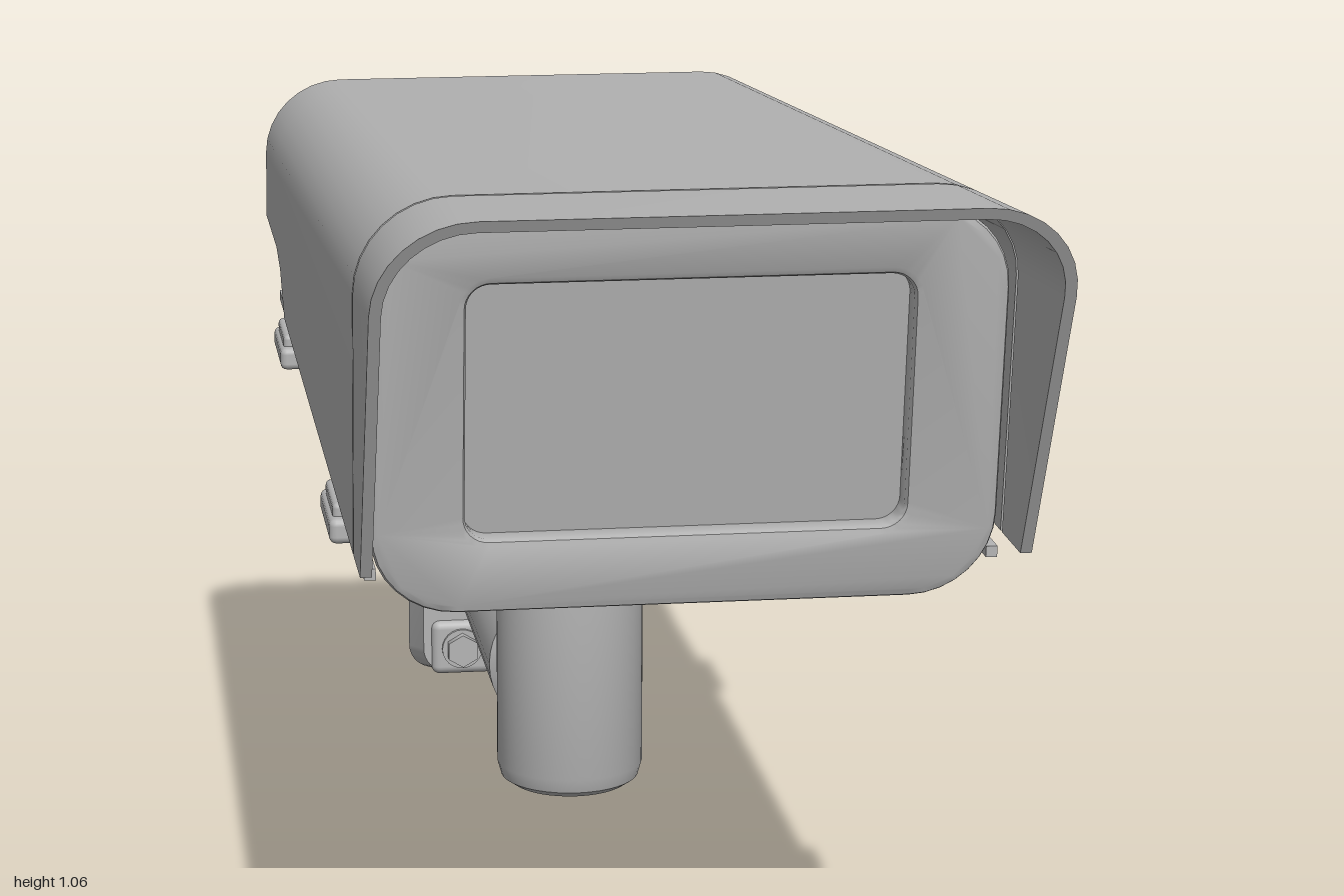
import * as THREE from 'three';
import { toCreasedNormals } from 'three/addons/utils/BufferGeometryUtils.js';
import { RoundedBoxGeometry } from 'three/addons/geometries/RoundedBoxGeometry.js';

const arc = (cx, cy, r, from, n = 8) => Array.from({ length: n + 1 }, (_, i) => {
  const a = from + (i / n) * Math.PI / 2;
  return new THREE.Vector2(cx + r * Math.cos(a), cy + r * Math.sin(a));
});

// closed rounded rectangle, counter-clockwise
const roundRect = (w, y0, y1, r) => [
  ...arc(w - r, y0 + r, r, -Math.PI / 2), ...arc(w - r, y1 - r, r, 0),
  ...arc(r - w, y1 - r, r, Math.PI / 2), ...arc(r - w, y0 + r, r, Math.PI)];

// inverted U, open at the bottom
const arch = (w, y0, y1, r) => [new THREE.Vector2(w, y0),
  ...arc(w - r, y1 - r, r, 0), ...arc(r - w, y1 - r, r, Math.PI / 2), new THREE.Vector2(-w, y0)];

// place an outline at depth z, leaning with height
const ring = (pts, z, lean = 0, yRef = 0) =>
  pts.map(p => new THREE.Vector3(p.x, p.y, z + lean * (p.y - yRef)));

// skin over matching rings, capped at both ends
function skin(rings, crease = 0.5) {
  const pos = [], n = rings[0].length;
  const tri = (...v) => v.forEach(p => pos.push(p.x, p.y, p.z));
  for (let j = 0; j < rings.length - 1; j++) {
    for (let i = 0; i < n; i++) {
      const k = (i + 1) % n, A = rings[j], B = rings[j + 1];
      tri(A[i], A[k], B[k]);
      tri(A[i], B[k], B[i]);
    }
  }
  const cap = (R, flip) => THREE.ShapeUtils
    .triangulateShape(R.map(p => new THREE.Vector2(p.x, p.y)), [])
    .forEach(([a, b, c]) => (flip ? tri(R[a], R[c], R[b]) : tri(R[a], R[b], R[c])));
  cap(rings[0], true);
  cap(rings[rings.length - 1], false);
  const g = new THREE.BufferGeometry();
  g.setAttribute('position', new THREE.Float32BufferAttribute(pos, 3));
  g.computeVertexNormals();
  return toCreasedNormals(g, crease);
}

// tapered block hanging downwards, with an optional recess underneath
function pan(w, z0, z1, top, bottom, taper, dish = 0) {
  const o = (d, y) => ring(roundRect(w - d, z0 + d * 0.7, z1 - d * 0.7, 0.015), -y);
  const rings = [o(0, top), o(taper, bottom)];
  if (dish) rings.push(o(taper + 0.02, bottom), o(taper + 0.02, bottom + dish));
  return skin(rings).rotateX(Math.PI / 2);
}

const lathe = (pts, seg = 40) => toCreasedNormals(
  new THREE.LatheGeometry(pts.map(p => new THREE.Vector2(...p)), seg), 0.6);

export function createModel() {
  const model = new THREE.Group();
  const grey = new THREE.MeshStandardMaterial({ color: 0xb4b4b4 });
  grey.name = 'grey metal';
  const add = (name, geo, x = 0, y = 0, z = 0) => {
    const m = new THREE.Mesh(geo, grey);
    m.name = name;
    m.position.set(x, y, z);
    model.add(m);
    return m;
  };
  const roofY = z => 0.978 + 0.082 * z;

  // sunshield: each station is [z at the roof, lean, lower edge]
  const shield = stations => skin(stations.map(([z, lean, low]) => {
    const t = 0.012, y = roofY(z);
    const loop = [...arch(0.345, low, y, 0.1), ...arch(0.345 - t, low, y - t, 0.1 - t).reverse()];
    return ring(loop, z, lean, y);
  }));
  add('sunshield', shield([[-0.71, 0.18, 0.73], [-0.53, 0, 0.73], [-0.46, 0, 0.715],
    [-0.39, 0, 0.665], [0.765, 0.14, 0.66]]));
  add('visor', shield([[0.772, 0.14, 0.66], [1, 0.5, 0.66]]));

  // housing with a dished rear panel
  const section = (z, lean, inset = 0) => {
    const y = roofY(z) - 0.02;
    return ring(roundRect(0.328 - inset, 0.59 + inset, y - inset, 0.09 - inset), z, lean, y);
  };
  add('housing', skin([section(-0.635, 0.1, 0.045), section(-0.66, 0.1, 0.025),
    section(-0.665, 0.1), section(0.73, 0.13)]));

  // front bezel around the recessed window
  const face = new THREE.Shape(roundRect(0.328, 0.59, 1.018, 0.09));
  face.holes.push(new THREE.Path(roundRect(0.23, 0.67, 0.945, 0.025).reverse()));
  const bezel = new THREE.ExtrudeGeometry(face, { depth: 0.024, bevelThickness: 0.008,
    bevelSize: 0.008, bevelOffset: -0.008, bevelSegments: 2 });
  const bp = bezel.attributes.position;
  for (let i = 0; i < bp.count; i++) bp.setZ(i, bp.getZ(i) + 0.73 + 0.13 * (bp.getY(i) - 1.018));
  bezel.computeVertexNormals();
  add('windowBezel', toCreasedNormals(bezel, 0.5));

  // seam trim and side latches
  for (const s of [-1, 1]) {
    add('seamTrim', new THREE.BoxGeometry(0.012, 0.012, 1.38), s * 0.327, 0.634, 0.01);
    for (const z of [0.445, -0.38]) {
      add('latch', new RoundedBoxGeometry(0.04, 0.028, 0.14, 2, 0.008), s * 0.335, 0.629, z);
      add('latchTop', new RoundedBoxGeometry(0.022, 0.03, 0.11, 2, 0.006), s * 0.339, 0.642, z);
    }
  }

  // underside mount
  add('mountFlange', pan(0.232, -0.67, 0.015, 0.595, 0.578, 0.008));
  add('mountBlock', pan(0.215, -0.43, 0.008, 0.58, 0.51, 0.025, 0.02));
  add('cableBay', pan(0.215, -0.662, -0.44, 0.58, 0.51, 0.025, 0.05));
  add('cableGland', new THREE.CylinderGeometry(0.018, 0.018, 0.04, 20), -0.06, 0.54, -0.55);
  add('jointPlate', pan(0.172, -0.335, -0.11, 0.535, 0.466, 0.02));
  for (const x of [-0.12, 0.12]) {
    for (const z of [-0.27, -0.17]) {
      add('plateScrew', new THREE.CylinderGeometry(0.012, 0.012, 0.008, 16), x, 0.465, z);
    }
  }
  for (const z of [0.34, 0.4, 0.46]) {
    add('drainPlug', new THREE.CylinderGeometry(0.01, 0.01, 0.006, 16), 0, 0.589, z);
  }

  // swivel post with ball neck
  add('swivelPost', lathe([[0, 0.088], [0.075, 0.088], [0.088, 0.097], [0.093, 0.115],
    [0.093, 0.345], [0.088, 0.35], [0.073, 0.35], [0.073, 0.395], [0.066, 0.41],
    [0.045, 0.42], [0.042, 0.435], [0.034, 0.447], [0.034, 0.452], [0.07, 0.468], [0, 0.469]]),
  0, 0, -0.22);

  // hollow arm reaching back to the wall
  const arm = add('arm', lathe([[0, 0], [0.06, 0], [0.098, 0.03], [0.098, 0.74],
    [0.083, 0.74], [0.083, 0.12], [0, 0.12]]), 0, 0.23, -0.235);
  arm.rotation.x = -Math.PI / 2;

  // wall plate: tapered rim around a pierced floor
  const bore = () => new THREE.Path().absarc(0, 0.23, 0.083, 0, Math.PI * 2, true);
  const plate = (w, y0, y1, r, hole, depth) => {
    const s = new THREE.Shape(roundRect(w, y0, y1, r));
    s.holes.push(hole);
    return new THREE.ExtrudeGeometry(s, { depth, bevelEnabled: false, curveSegments: 32 });
  };
  const rim = plate(0.135, 0, 0.455, 0.035,
    new THREE.Path(roundRect(0.114, 0.02, 0.435, 0.02).reverse()), 0.055);
  const rp = rim.attributes.position;
  for (let i = 0; i < rp.count; i++) {
    if (rp.getZ(i) < 0.01) continue;
    rp.setX(i, rp.getX(i) * 0.88);
    rp.setY(i, 0.2275 + (rp.getY(i) - 0.2275) * 0.95);
  }
  rim.computeVertexNormals();
  add('wallPlateRim', toCreasedNormals(rim, 0.5), 0, 0, -1);
  add('wallPlateFloor', plate(0.114, 0.015, 0.44, 0.03, bore(), 0.025), 0, 0, -0.97);

  // raised bolt pads with washers, nuts and studs
  for (const y of [0.047, 0.41]) {
    add('boltPad', new RoundedBoxGeometry(0.215, 0.08, 0.03, 3, 0.012), 0, y, -0.95);
    for (const x of [-0.064, 0.064]) {
      for (const [name, r, len, sides, z] of [['washer', 0.029, 0.006, 24, -0.933],
        ['nut', 0.024, 0.016, 6, -0.925], ['stud', 0.012, 0.07, 16, -0.953],
        ['rearNut', 0.022, 0.014, 6, -0.975]]) {
        add(name, new THREE.CylinderGeometry(r, r, len, sides), x, y, z).rotation.x = Math.PI / 2;
      }
    }
  }
  return model;
}
